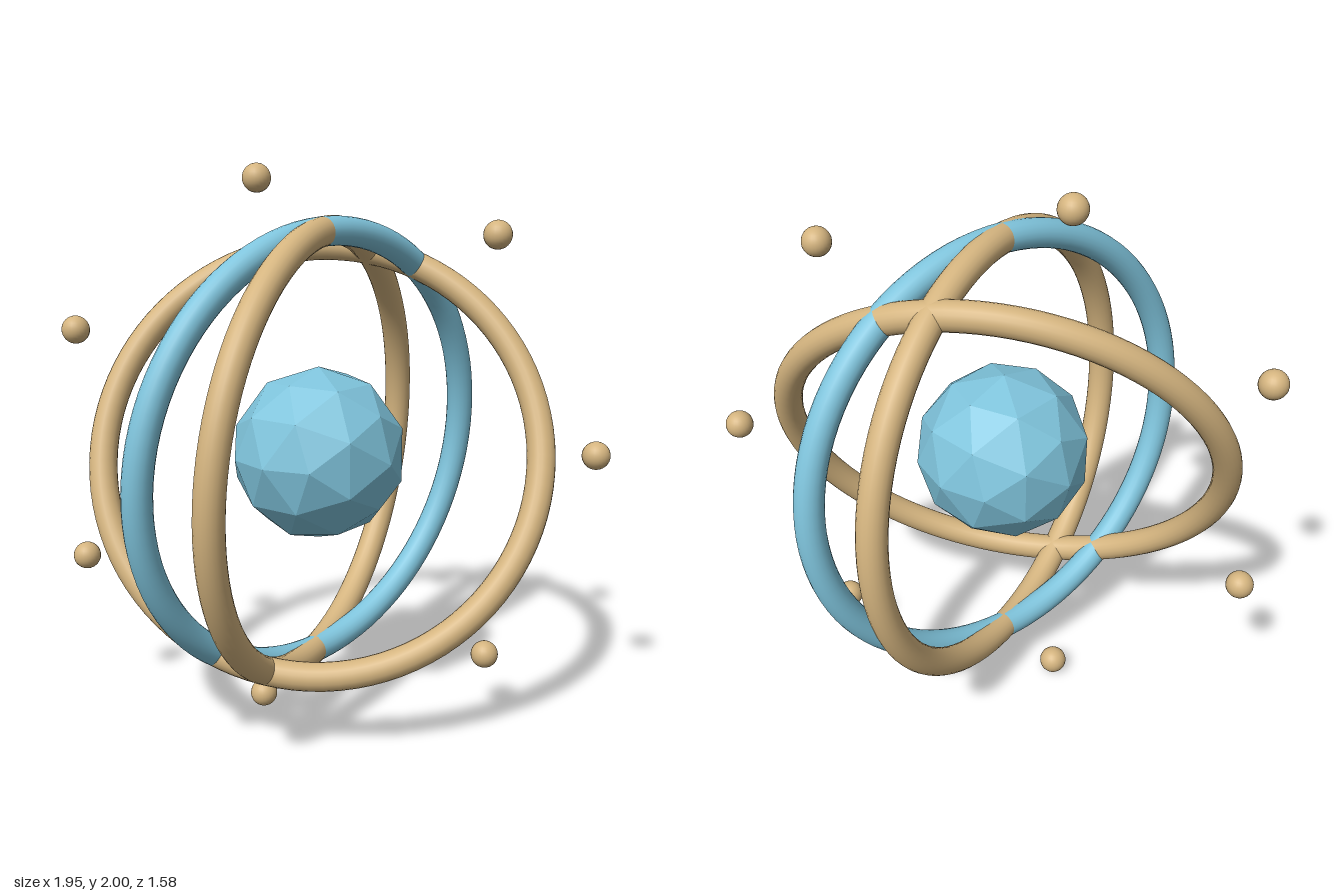
import * as THREE from 'three';

const tan = new THREE.MeshStandardMaterial({ color: 0xd4b47f });
const blue = new THREE.MeshStandardMaterial({ color: 0x7fc4dc });
const facetedBlue = new THREE.MeshStandardMaterial({ color: 0x7fc4dc, flatShading: true });
const rad = THREE.MathUtils.degToRad;

export function createModel() {
  const model = new THREE.Group();
  model.name = 'ringedOrb';

  function add(name, geometry, material, x, y, z) {
    const mesh = new THREE.Mesh(geometry, material);
    mesh.name = name;
    mesh.position.set(x, y, z);
    model.add(mesh);
    return mesh;
  }

  // Faceted core
  const core = add('core', new THREE.IcosahedronGeometry(0.31, 1), facetedBlue, -0.05, 1, 0);
  core.rotation.y = rad(58.3);

  // Three interlocking rings: turn about the vertical, then lean
  const ringGeometry = new THREE.TorusGeometry(0.78, 0.05, 20, 96);
  const rings = [
    { name: 'leaningRing', material: tan, turn: 0, lean: -25 },
    { name: 'blueRing', material: blue, turn: 50, lean: 5 },
    { name: 'uprightRing', material: tan, turn: 71.5, lean: 3.5 },
  ];
  for (const { name, material, turn, lean } of rings) {
    const ring = add(name, ringGeometry, material, -0.05, 1, 0);
    ring.rotation.set(rad(lean), rad(turn), 0, 'YXZ');
  }

  // Seven beads evenly spaced on a circle around the rings
  const beadGeometry = new THREE.SphereGeometry(0.05, 24, 16);
  for (let i = 0; i < 7; i++) {
    const a = (i / 7) * Math.PI * 2;
    add('bead' + (i + 1), beadGeometry, tan, -0.05 + 0.975 * Math.cos(a), 1 + 0.975 * Math.sin(a), -0.05);
  }

  return model;
}
